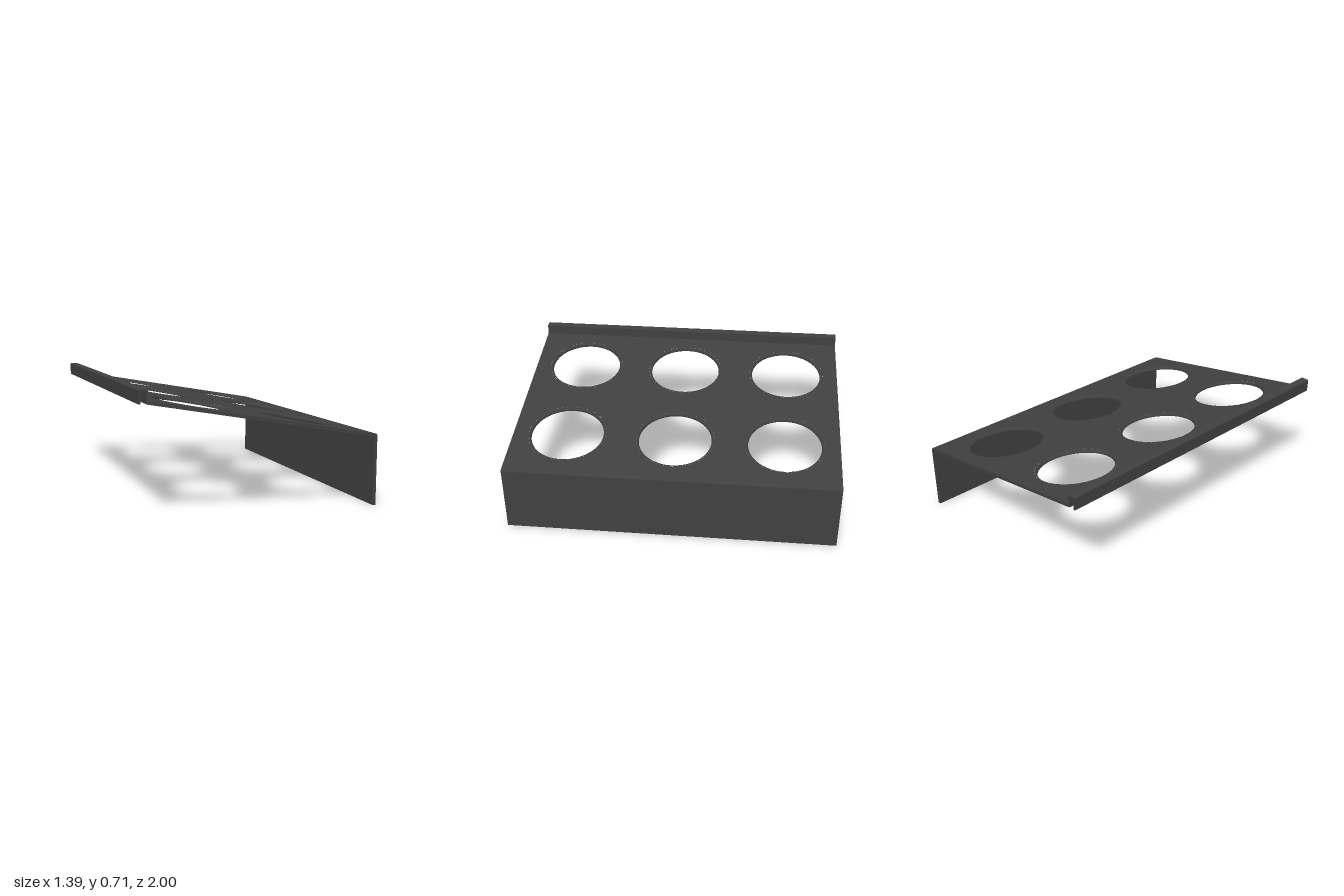
import * as THREE from 'three';

const LENGTH = 2;            // along z
const SLOPE = THREE.MathUtils.degToRad(10);
const THICK = 0.0195;        // sheet thickness
const HOLE = 0.223;          // hole radius
const ROUND = 0.016;         // rounding of the upper hole rim
const SEG = 48;
const U0 = -0.655, U1 = 0.6835;   // ends of the shelf along its slope
const HOLE_U = [-0.322, 0.352];
const HOLE_Z = [-0.667, 0, 0.667];

export function createModel() {
  const model = new THREE.Group();
  model.name = 'cupHolderShelf';
  const sheet = new THREE.MeshStandardMaterial({ color: 0x404040 });
  sheet.name = 'dark grey sheet';

  const add = (parent, name, geometry) => {
    const mesh = new THREE.Mesh(geometry, sheet);
    mesh.name = name;
    parent.add(mesh);
    return mesh;
  };

  // Bent strips: a side profile drawn in x and y, drawn out along z
  const strip = (name, shape) => {
    const g = new THREE.ExtrudeGeometry(shape, { depth: LENGTH, bevelEnabled: false, curveSegments: 8 });
    add(model, name, g.translate(0, 0, -LENGTH / 2));
  };

  // Upright leg with a rounded bend at the top
  const leg = new THREE.Shape();
  leg.moveTo(0.675, 0);
  leg.lineTo(0.694, 0);
  leg.lineTo(0.694, 0.398);
  leg.quadraticCurveTo(0.694, 0.413, 0.68, 0.415);
  leg.lineTo(0.672, 0.4165);
  leg.lineTo(0.672, 0.397);
  leg.lineTo(0.675, 0.3965);
  strip('leg', leg);

  // Hanging hook, an upside-down channel
  const hook = new THREE.Shape();
  hook.moveTo(-0.697, 0.632);
  hook.lineTo(-0.686, 0.632);
  hook.lineTo(-0.686, 0.699);
  hook.lineTo(-0.656, 0.699);
  hook.lineTo(-0.656, 0.632);
  hook.lineTo(-0.645, 0.63);
  hook.lineTo(-0.645, 0.704);
  hook.quadraticCurveTo(-0.645, 0.709, -0.65, 0.709);
  hook.lineTo(-0.692, 0.709);
  hook.quadraticCurveTo(-0.697, 0.709, -0.697, 0.704);
  strip('hook', hook);

  // Sloping shelf; its own y = 0 is the upper surface
  const shelf = new THREE.Group();
  shelf.name = 'shelf';
  shelf.position.y = 0.535;
  shelf.rotation.z = -SLOPE;
  model.add(shelf);

  const face = (radius) => {
    const h = LENGTH / 2;
    const s = new THREE.Shape([[U0, -h], [U1, -h], [U1, h], [U0, h]].map(p => new THREE.Vector2(...p)));
    for (const u of HOLE_U) for (const z of HOLE_Z) {
      s.holes.push(new THREE.Path().absarc(u, z, radius, 0, Math.PI * 2, true));
    }
    return new THREE.ShapeGeometry(s, SEG);
  };
  add(shelf, 'shelfTop', face(HOLE + ROUND).rotateX(-Math.PI / 2));
  add(shelf, 'shelfUnderside', face(HOLE).rotateX(Math.PI / 2).translate(0, -THICK, 0));

  // Cut edges of the shelf at both ends
  for (const side of [1, -1]) {
    const edge = new THREE.PlaneGeometry(U1 - U0, THICK);
    if (side < 0) edge.rotateY(Math.PI);
    edge.translate((U0 + U1) / 2, -THICK / 2, side * LENGTH / 2);
    add(shelf, side > 0 ? 'frontEdge' : 'backEdge', edge);
  }

  // Hole walls with a rounded upper rim
  const profile = [];
  for (let i = 0; i <= 6; i++) {
    const a = (i / 6) * Math.PI / 2;
    profile.push(new THREE.Vector2(HOLE + ROUND * (1 - Math.sin(a)), ROUND * (Math.cos(a) - 1)));
  }
  profile.push(new THREE.Vector2(HOLE, -THICK));
  const rim = new THREE.LatheGeometry(profile, SEG);
  for (const u of HOLE_U) for (const z of HOLE_Z) {
    add(shelf, 'holeRim', rim).position.set(u, 0, z);
  }

  return model;
}
